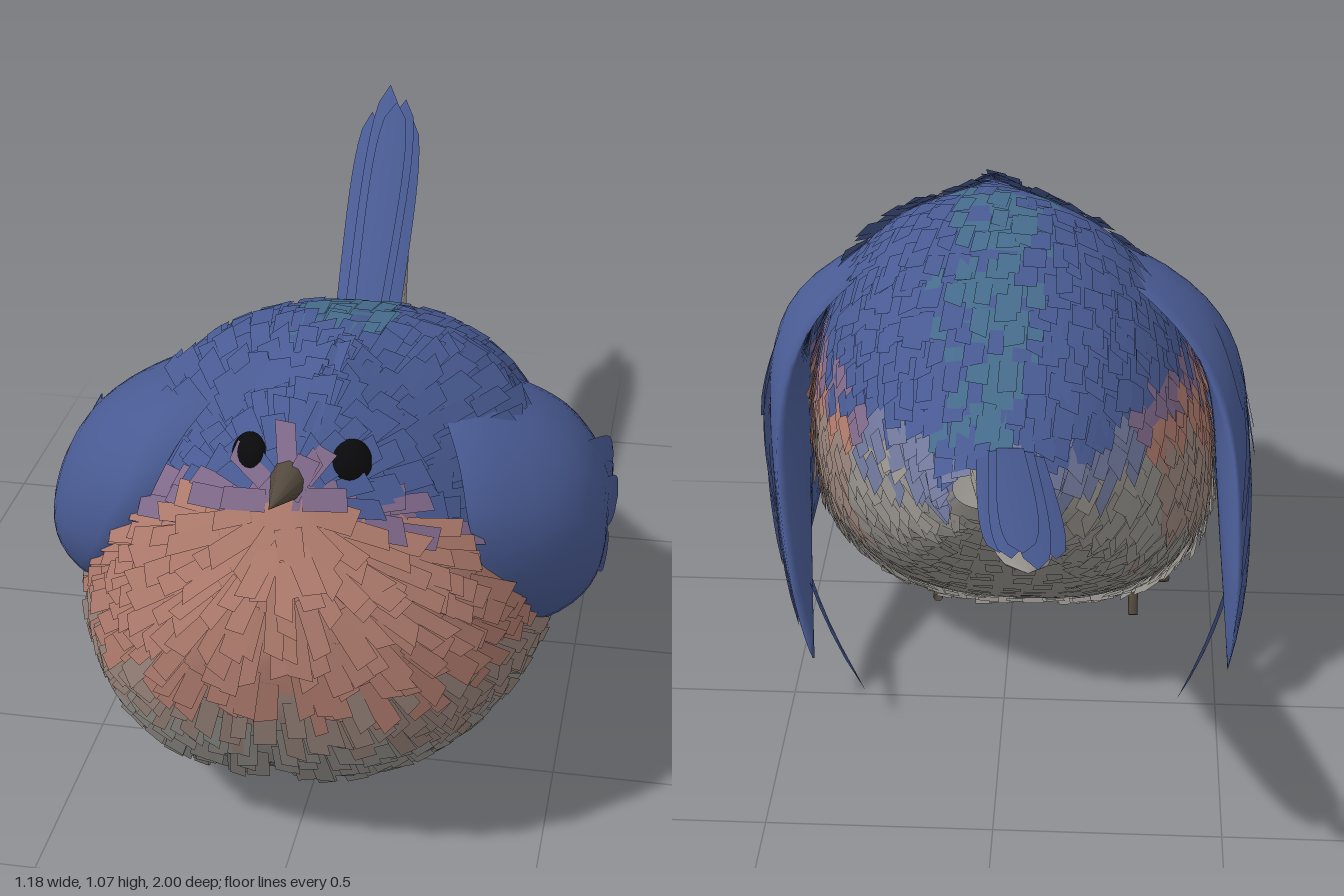
import * as THREE from 'three';

const V = (x, y, z) => new THREE.Vector3(x, y, z);
const { clamp, smoothstep } = THREE.MathUtils;
const COLORS = {
  teal: 0x466c8c, blue: 0x485a92, mauve: 0x80698a, rust: 0xb07c6e,
  warmGrey: 0x9a857c, grey: 0x96928c, blueGrey: 0x70779a,
};
const mat = (color) => new THREE.MeshStandardMaterial({ color, roughness: 0.8, side: THREE.DoubleSide });
const named = (object, name) => Object.assign(object, { name });

let seed = 7;
const rnd = () => (seed = (seed * 16807) % 2147483647) / 2147483647;

// The bird leans slightly to its left
const lean = (y) => 0.11 * (y - 0.5);

// Body stations from breast to rump: z, top y, bottom y, half width
const STATIONS = [
  [0.98, 0.58, 0.56, 0.01], [0.955, 0.71, 0.42, 0.18], [0.91, 0.8, 0.31, 0.27],
  [0.86, 0.9, 0.23, 0.33], [0.79, 0.985, 0.17, 0.385], [0.69, 1.04, 0.11, 0.435],
  [0.55, 1.05, 0.08, 0.475], [0.4, 1.02, 0.075, 0.48], [0.25, 0.96, 0.13, 0.45],
  [0.1, 0.885, 0.24, 0.38], [-0.05, 0.8, 0.39, 0.265], [-0.15, 0.76, 0.52, 0.16],
  [-0.2, 0.75, 0.64, 0.08],
];
const curveA = new THREE.CatmullRomCurve3(STATIONS.map((s) => V(s[0], s[1], s[2])));
const curveW = new THREE.CatmullRomCurve3(STATIONS.map((s) => V(s[3], s[0], 0)));

function station(t) {
  const { x: z, y: top, z: bot } = curveA.getPoint(t);
  return { z, top, bot, w: curveW.getPoint(t).x, mid: bot + 0.4 * (top - bot) };
}
// Roundness of the cross-section: fuller below, slimmer at the face, pinched where the wings tuck in
const power = (z, n) => (n < 0 ? 0.78
  : 0.82 + 0.4 * smoothstep(z, 0.55, 0.85) + 0.65 * Math.exp(-(((z - 0.73) / 0.1) ** 2)));
function surface(t, a) {
  const s = station(t), c = Math.cos(a), n = Math.sin(a);
  const y = s.mid + n * (n > 0 ? s.top - s.mid : s.mid - s.bot);
  return V(s.w * Math.sign(c) * Math.abs(c) ** power(s.z, n) + lean(y), y, s.z);
}
function normalAt(t, a) {
  const u = clamp(t, 0.015, 0.985);
  const du = surface(u + 0.01, a).sub(surface(u - 0.01, a));
  const n = du.cross(surface(u, a + 0.03).sub(surface(u, a - 0.03))).normalize();
  return n.dot(surface(u, a).sub(V(0, 0.52, 0.45))) < 0 ? n.negate() : n;
}
// Depth of the front of the body at a given x and y
function frontZ(x, y) {
  for (let t = 0; t < 0.6; t += 0.002) {
    const s = station(t), n = (y - s.mid) / (s.top - s.mid);
    if (n < 1 && Math.abs(x - lean(y)) < s.w * (1 - n * n) ** (power(s.z, n) / 2)) return s.z;
  }
  return 0.8;
}

// Plumage zones
function zone(p, jitter) {
  const y = p.y + (rnd() - 0.5) * jitter;
  const edge = p.z > 0.6 ? 0.72 + (p.z - 0.6) * 0.55 - 0.2 * Math.abs(p.x) : 0.72;
  if (y > 0.8 && p.z < 0.62 && Math.abs(p.x - 0.04) < rnd() * 0.14) return 'teal';
  if (y > edge + 0.02) return 'blue';
  if (p.z < 0.08) return y > edge - 0.06 ? 'blueGrey' : 'grey';
  if (y > edge - 0.04) return 'mauve';
  if (y > (p.z < 0.3 ? 0.62 : 0.46 + 0.15 * Math.abs(p.x))) return 'rust';
  return y > 0.39 ? 'warmGrey' : 'grey';
}

// Adds one quad to a colour bucket, wound to face along its normals
function addQuad(buckets, key, p, n) {
  const b = (buckets[key] ??= { pos: [], nor: [] });
  const face = p[2].clone().sub(p[0]).cross(p[3].clone().sub(p[1]));
  for (const i of face.dot(n[0]) > 0 ? [0, 1, 2, 0, 2, 3] : [0, 2, 1, 0, 3, 2]) {
    b.pos.push(...p[i].toArray());
    b.nor.push(...n[i].toArray());
  }
}
function bucketsToGroup(buckets, name) {
  const group = named(new THREE.Group(), name);
  for (const key in buckets) {
    const g = new THREE.BufferGeometry();
    g.setAttribute('position', new THREE.Float32BufferAttribute(buckets[key].pos, 3));
    g.setAttribute('normal', new THREE.Float32BufferAttribute(buckets[key].nor, 3));
    group.add(named(new THREE.Mesh(g, mat(COLORS[key])), `${name} ${key}`));
  }
  return group;
}

function buildBody() {
  const buckets = {}, R = 56, C = 64;
  for (let i = 0; i < R; i++) for (let j = 0; j < C; j++) {
    const uv = [[i, j], [i + 1, j], [i + 1, j + 1], [i, j + 1]].map(([r, c]) => [r / R, (c / C) * Math.PI * 2]);
    const p = uv.map((q) => surface(...q));
    addQuad(buckets, zone(p[0], 0.03), p, uv.map((q) => normalAt(...q)));
  }
  return bucketsToGroup(buckets, 'body');
}

// Square-ended feathers radiating from the beak towards the tail, longer on the breast
function buildFeathers() {
  const buckets = {}, rows = 38, beak = V(0, 0.9, 0.95);
  for (let i = 1; i < rows; i++) {
    const s = station(i / rows);
    const count = Math.ceil((Math.PI * (s.w + (s.top - s.bot) / 2)) / 0.045);
    for (let j = 0; j < count; j++) {
      const t = Math.min(0.93, i / rows + (rnd() - 0.5) * 0.03);
      const a = ((j + rnd() * 0.7) / count) * Math.PI * 2;
      const p = surface(t, a), n = normalAt(t, a), breast = p.z > 0.35 && p.y < 0.8 ? 1 : 0;
      const dir = p.clone().sub(beak).normalize().add(V(0, 0, -0.4));
      dir.addScaledVector(n, -dir.dot(n)).normalize();
      const side = dir.clone().cross(n).multiplyScalar(0.017 + rnd() * 0.01 - 0.003 * breast);
      const skew = (rnd() - 0.5) * 0.02, root = p.clone().addScaledVector(n, 0.002);
      const tip = p.clone().addScaledVector(dir, 0.055 + rnd() * 0.035 + 0.03 * breast)
        .addScaledVector(n, 0.005 + rnd() * 0.006);
      addQuad(buckets, zone(p, 0.08), [
        root.clone().sub(side), root.clone().add(side),
        tip.clone().add(side).addScaledVector(dir, skew), tip.clone().sub(side).addScaledVector(dir, -skew),
      ], [n, n, n, n]);
    }
  }
  return bucketsToGroup(buckets, 'feathers');
}

// Grid mesh over fn(u, v) with u and v from 0 to 1
function grid(rows, cols, fn, color, name) {
  const g = new THREE.PlaneGeometry(1, 1, cols, rows), uv = g.attributes.uv;
  for (let i = 0; i < uv.count; i++) g.attributes.position.setXYZ(i, ...fn(1 - uv.getY(i), uv.getX(i)).toArray());
  g.computeVertexNormals();
  return named(new THREE.Mesh(g, mat(color)), name);
}
// Long feather drawn in a flat plane from a to b, then bent by map(u, v, t)
function longFeather(map, [a0, a1], [b0, b1], w, name) {
  const L = Math.hypot(b0 - a0, b1 - a1), px = -(b1 - a1) / L, py = (b0 - a0) / L;
  return grid(12, 4, (t, v) => {
    const k = (v * 2 - 1) * w * (0.6 + 0.4 * t) * Math.sqrt(Math.max(0, 1 - t ** 4));
    return map(a0 + (b0 - a0) * t + px * k, a1 + (b1 - a1) * t + py * k, t);
  }, COLORS.blue, name);
}

// Domed folded wing; side is +1 for left, -1 for right
function buildWing(side) {
  const wing = named(new THREE.Group(), side > 0 ? 'leftWing' : 'rightWing');
  const bend = (z, y, off) => {
    const d = Math.abs(y - 0.5) / (y > 0.5 ? 0.5 : 0.75);
    const x = 0.55 * Math.sqrt(Math.max(0.05, 1 - d ** 3));
    return V(side * (x - (z > 0.5 ? 1.5 : 0.12) * (z - 0.5) ** 2 + off) + lean(y), y, z);
  };
  const outline = new THREE.CatmullRomCurve3([
    [0.54, 0.955], [0.69, 0.91], [0.785, 0.78], [0.76, 0.62], [0.65, 0.49], [0.45, 0.37], [0.2, 0.25],
    [-0.06, 0.14], [-0.03, 0.27], [0.06, 0.42], [0.2, 0.62], [0.32, 0.81], [0.42, 0.91],
  ].map(([z, y]) => V(z, y, 0)), true);
  const centre = V(0.45, 0.6, 0);
  // Shell: outer sheet curling in to the body at the front edge, and an inner sheet
  wing.add(grid(20, 64, (u, v) => {
    const s = 1 - Math.abs(2 * u - 1), q = centre.clone().lerp(outline.getPoint(v % 1), s);
    const curl = 0.07 * s ** 4 * smoothstep(q.x, 0.1, 0.5);
    return bend(q.x, q.y, (1 - s ** 3) * (u < 0.5 ? 0.025 : -0.06) - curl);
  }, COLORS.blue, 'wingShell'));
  // Root z, y, tip z, y, half width, lift at root, lift at tip
  const blades = [
    [0.5, 0.52, -0.12, 0.1, 0.06, 0, -0.1], [0.5, 0.56, -0.07, 0.24, 0.065, 0.01, 0.0],
    [0.48, 0.62, 0.0, 0.36, 0.065, 0.015, 0.01], [0.46, 0.72, 0.08, 0.46, 0.06, 0.015, 0.01],
    [0.62, 0.65, 0.36, 0.48, 0.055, 0.0, 0.035], [0.62, 0.73, 0.3, 0.59, 0.065, 0.0, 0.04],
    [0.56, 0.8, 0.25, 0.66, 0.055, 0.0, 0.025],
  ];
  for (const [z0, y0, z1, y1, w, o0, o1] of blades) {
    const map = (z, y, t) => bend(z, y, o0 + (o1 - o0) * t * t + 0.012 * Math.sin(Math.PI * t));
    wing.add(longFeather(map, [z0, y0], [z1, y1], w, 'wingFeather'));
  }
  return wing;
}

function buildTail() {
  const tail = named(new THREE.Group(), 'tail');
  // Tapered pale underside
  tail.add(grid(12, 20, (t, v) => {
    const a = -v * Math.PI * 2, k = Math.sqrt(Math.max(0, 1 - t ** 8));
    return V(-0.02 - 0.07 * t + Math.cos(a) * (0.085 - 0.03 * t) * k,
      0.695 + 0.24 * t + Math.sin(a) * (0.06 - 0.05 * t) * k, -0.16 - 0.77 * t);
  }, COLORS.grey, 'tailUnderside'));
  // Root x, tip x, tip z, half width
  const quills = [[-0.07, -0.14, -0.9, 0.04], [0.03, -0.035, -0.88, 0.04], [-0.045, -0.11, -1.0, 0.045],
    [0.0, -0.06, -0.94, 0.045], [-0.02, -0.08, -0.92, 0.05]];
  quills.forEach(([x0, x1, z1, w], i) => tail.add(longFeather((x, z) => {
    const axis = -0.02 - 0.09 * (-z - 0.16);
    return V(x, 0.762 + (-0.18 - z) * 0.267 - 2 * (x - axis) ** 2 + 0.003 * i, z);
  }, [x0, -0.15], [x1, z1], w, 'tailFeather')));
  return tail;
}

// Foot with three toes forward and one lower toe behind
function buildFoot(x, drop, name) {
  const foot = named(new THREE.Group(), name);
  const limb = (part, r, ...points) => foot.add(named(new THREE.Mesh(
    new THREE.TubeGeometry(new THREE.CatmullRomCurve3(points), 8, r, 6), mat(0x4f463a)), part));
  const ankle = V(x, 0.06, 0.43);
  limb('leg', 0.018, V(x + 0.02, 0.2, 0.4), V(x + 0.01, 0.11, 0.405), ankle);
  for (const s of [-1, 0, 1]) {
    limb('toe', 0.012, ankle, V(x + s * 0.045, 0.068, 0.48 - 0.03 * Math.abs(s)),
      V(x + s * 0.085, 0.054, 0.53 - 0.05 * Math.abs(s)));
  }
  limb('backToe', 0.012, ankle, V(x, 0.05, 0.4), V(x, drop, 0.37));
  return foot;
}

export function createModel() {
  const bird = named(new THREE.Group(), 'bird');
  bird.add(buildBody(), buildFeathers(), buildWing(1), buildWing(-1), buildTail());
  bird.add(buildFoot(0.185, 0.045, 'leftFoot'), buildFoot(-0.305, 0.01, 'rightFoot'));
  for (const [x, y, name, turn] of [[0.125, 0.915, 'leftEye', 0.4], [-0.075, 0.905, 'rightEye', -0.6]]) {
    const eye = named(new THREE.Mesh(new THREE.SphereGeometry(1, 24, 16), mat(0x0a0a0c)), name);
    eye.scale.set(0.038, 0.042, 0.022);
    eye.position.set(x, y, frontZ(x, y) + 0.003);
    eye.rotation.set(-0.4, turn, 0, 'YXZ');
    bird.add(eye);
  }
  const beak = named(new THREE.Mesh(new THREE.ConeGeometry(0.042, 0.16, 10), mat(0x544a3e)), 'beak');
  beak.position.set(0.007, 0.885, 0.92);
  beak.quaternion.setFromUnitVectors(V(0, 1, 0), V(-0.06, 0.13, 1).normalize());
  bird.add(beak);
  return bird;
}
